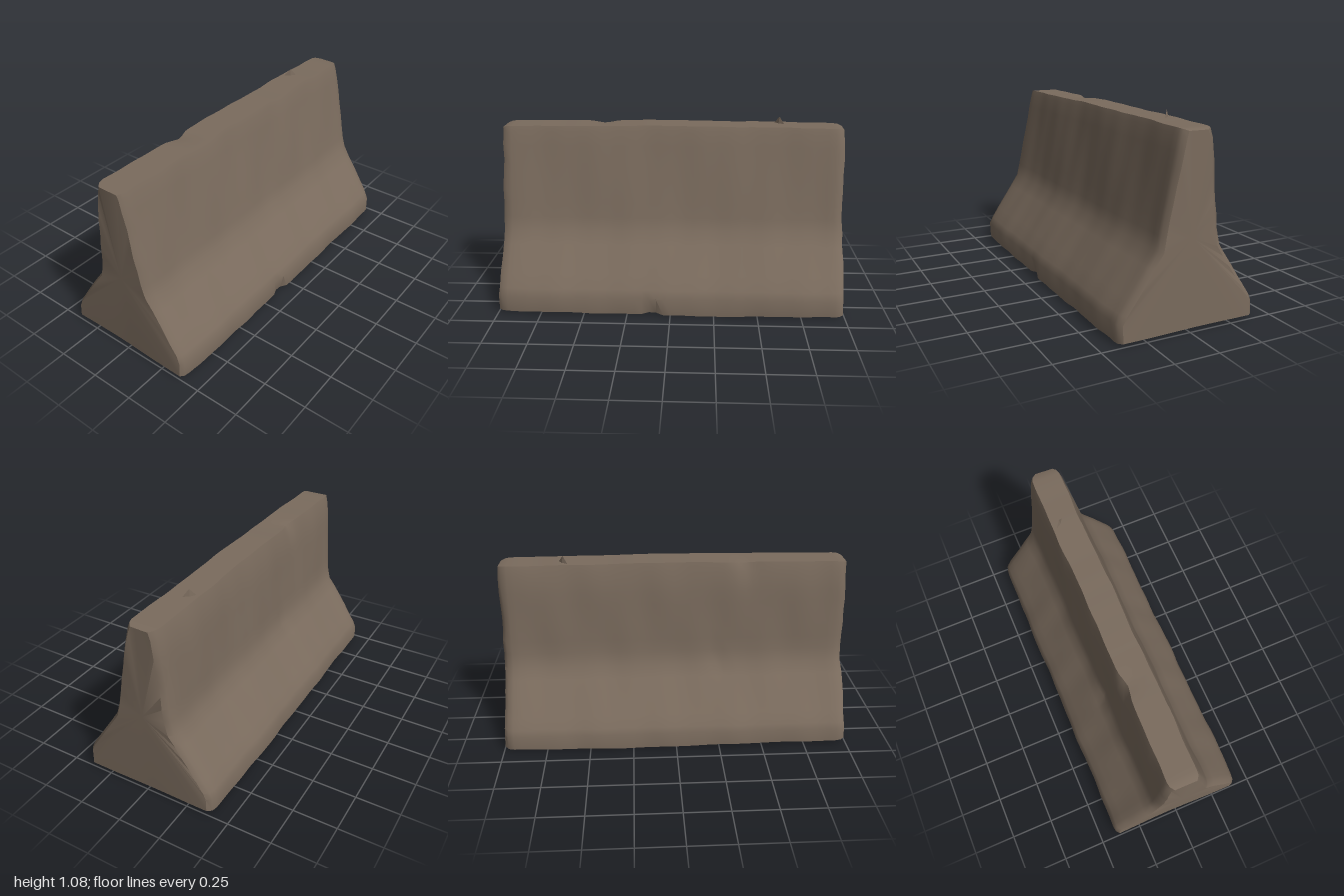
import * as THREE from 'three';
import { toCreasedNormals } from 'three/addons/utils/BufferGeometryUtils.js';

// Cross-section [z, y], from the front foot over the top to the back foot
const PROFILE = [
  [0.4, 0.018], [0.402, 0.11], [0.38, 0.155], [0.182, 0.445], [0.163, 0.52],
  [0.062, 1.01], [0.052, 1.04], [-0.112, 1.04], [-0.127, 0.985], [-0.14, 0.88], [-0.165, 0.52],
  [-0.183, 0.435], [-0.385, 0.135], [-0.4, 0.1], [-0.403, 0.022],
];

// Chips: centre, radius, and push towards the inside [dy, dz]
const CHIPS = [
  { at: [-0.1, 0.04, 0.4], r: 0.07, push: [0.012, -0.035] },
  { at: [-0.25, 0.47, -0.18], r: 0.07, push: [0, 0.02] },
  { at: [-0.4, 1.04, -0.11], r: 0.08, push: [-0.01, 0.018] },
];

// Split the closed outline into short steps
function outline() {
  const points = [];
  PROFILE.forEach(([z, y], i) => {
    const [z2, y2] = PROFILE[(i + 1) % PROFILE.length];
    const steps = Math.max(1, Math.round(Math.hypot(z2 - z, y2 - y) / 0.08));
    for (let k = 0; k < steps; k++) {
      const t = k / steps;
      points.push([z + (z2 - z) * t, y + (y2 - y) * t]);
    }
  });
  return points;
}

// Gentle unevenness of worn concrete
const wave = (x, y, s) =>
  0.5 * Math.sin(9 * x + 5 * y + s) + 0.3 * Math.sin(17 * x - 8 * y + 2 * s) + 0.2 * Math.sin(31 * x + 3 * s);

function wornPoint(x, y0, z0, inset) {
  const side = Math.sign(z0);
  let z = z0 + side * 0.006 * wave(x, y0, side > 0 ? 1 : 4);
  let y = y0;
  if (y0 > 1) y += 0.004 * Math.cos(3 * x) + 0.002 * wave(x, 0, 2);
  if (y0 < 0.05) y -= 0.011 * Math.exp(-(((x - 0.25) / 0.5) ** 2)) + 0.003 * wave(x, z0, 3);
  for (const { at, r, push } of CHIPS) {
    const d = Math.hypot(x - at[0], y - at[1], z - at[2]);
    const f = Math.max(0, 1 - d / r);
    y += push[0] * f;
    z += push[1] * f;
  }
  // Rounded-off ends, worn most at the back of the left end
  const wear = x > 0 && z0 < 0 ? 1.5 : 1;
  z -= side * Math.min(Math.abs(z), inset * wear);
  if (y0 > 1) y -= inset * 0.4;
  if (y0 < 0.05) y += inset * 0.2;
  const end = Math.abs(x) > 0.95 ? 0.006 * (wave(y0 * 1.5, z0, x > 0 ? 2 : 5) - 0.4) : 0;
  return [Math.max(-1, Math.min(1, x + Math.sign(x) * end)), Math.max(0, y), z];
}

function barrierGeometry() {
  const ring = outline();
  const n = ring.length;
  const stations = [[-0.994, 0.022], [-0.972, 0.005]];
  for (let i = 0; i <= 46; i++) stations.push([-0.94 + (1.88 * i) / 46, 0]);
  stations.push([0.972, 0.005], [0.994, 0.022]);

  const positions = [];
  const index = [];
  for (const [x, inset] of stations) {
    for (const [z, y] of ring) positions.push(...wornPoint(x, y, z, inset));
  }
  // Long skin
  for (let s = 0; s < stations.length - 1; s++) {
    for (let i = 0; i < n; i++) {
      const a = s * n + i;
      const b = s * n + ((i + 1) % n);
      index.push(a, a + n, b, b, a + n, b + n);
    }
  }
  // End faces
  const last = (stations.length - 1) * n;
  const hub = positions.length / 3;
  positions.push(-0.995, 0.5, 0, 0.995, 0.5, 0);
  for (let i = 0; i < n; i++) {
    const j = (i + 1) % n;
    index.push(hub, i, j, hub + 1, last + j, last + i);
  }
  const geometry = new THREE.BufferGeometry();
  geometry.setAttribute('position', new THREE.Float32BufferAttribute(positions, 3));
  geometry.setIndex(index);
  return toCreasedNormals(geometry, 0.7);
}

export function createModel() {
  const group = new THREE.Group();
  group.name = 'concreteBarrier';
  const concrete = new THREE.MeshStandardMaterial({ color: 0x7a6b5d });
  concrete.name = 'concrete';

  const body = new THREE.Mesh(barrierGeometry(), concrete);
  body.name = 'barrierBody';
  group.add(body);

  // Small jagged splinter on the top
  const splinter = new THREE.Mesh(
    toCreasedNormals(new THREE.ConeGeometry(0.045, 0.05, 4), 0.3), concrete);
  splinter.name = 'topSplinter';
  splinter.scale.z = 0.2;
  splinter.rotation.y = -Math.PI / 4;
  splinter.position.set(0.625, 1.055, -0.068);
  group.add(splinter);

  return group;
}
